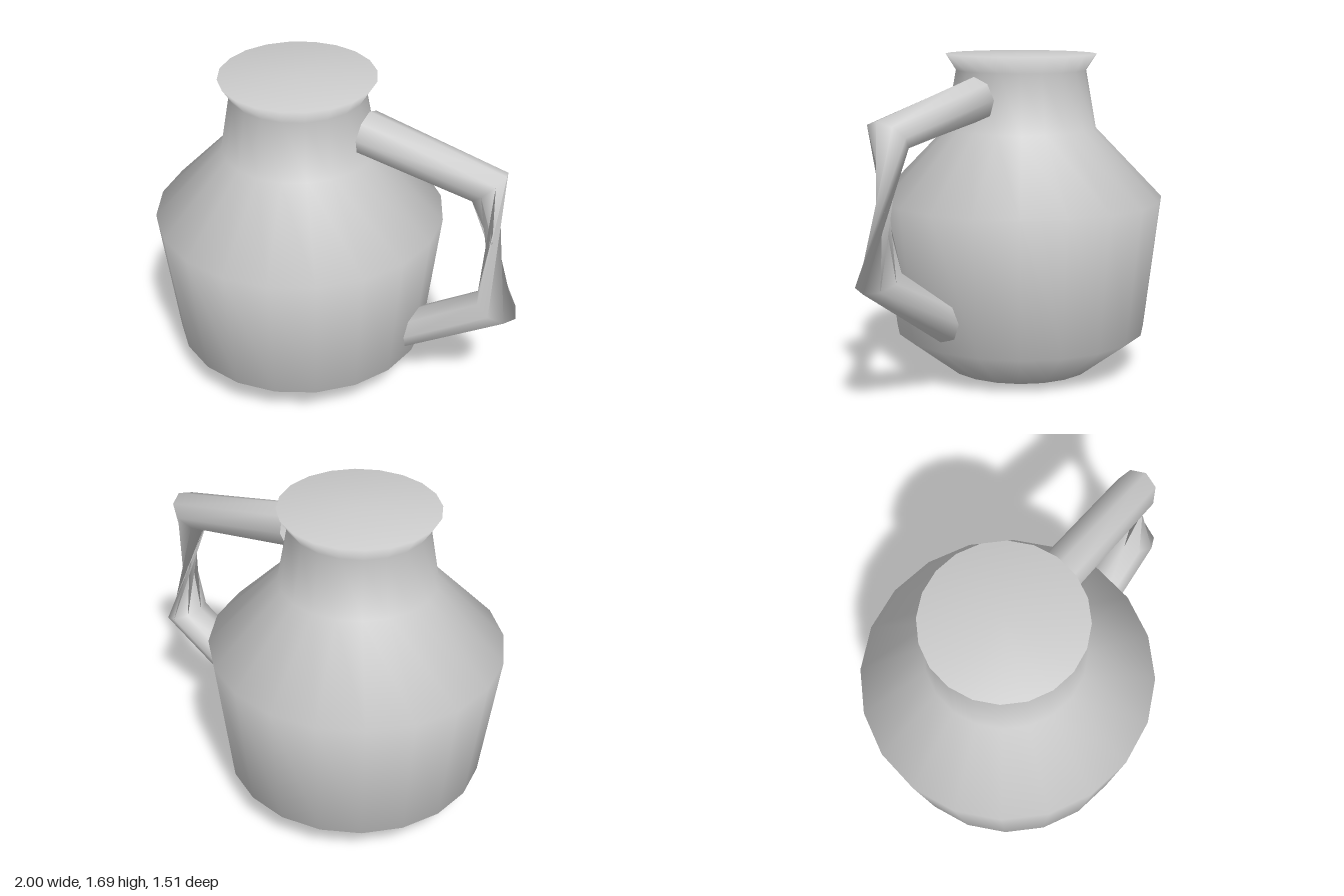
import * as THREE from 'three';

// Tube skinned over explicit octagonal rings; each ring has a centre and an in-plane "up" spoke.
function skinRings(rings, sides) {
  const pos = [], index = [];
  for (const { c, u, flip } of rings) {
    const r = Math.hypot(u[0], u[1]);
    for (let i = 0; i < sides; i++) {
      const a = (i / sides) * Math.PI * 2;
      pos.push(c[0] + u[0] * Math.cos(a), c[1] + u[1] * Math.cos(a), flip * r * Math.sin(a));
    }
  }
  for (let k = 0; k < rings.length - 1; k++) {
    for (let i = 0; i < sides; i++) {
      const j = (i + 1) % sides;
      const a = k * sides, b = a + sides;
      index.push(a + i, a + j, b + i, a + j, b + j, b + i);
    }
  }
  const g = new THREE.BufferGeometry();
  g.setAttribute('position', new THREE.Float32BufferAttribute(pos, 3));
  g.setIndex(index);
  g.computeVertexNormals();
  return g;
}

export function createModel() {
  const group = new THREE.Group();
  group.name = 'jug';

  const clay = new THREE.MeshStandardMaterial({ color: 0xcccccc, side: THREE.DoubleSide });
  clay.name = 'grey clay';

  // Body: closed, smooth 20-sided turned profile
  const profile = [
    [0, 0], [0.4, 0], [0.675, 0.21], [0.757, 0.93],
    [0.4, 1.3], [0.345, 1.605], [0.4, 1.69], [0, 1.69],
  ].map(([r, y]) => new THREE.Vector2(r, y));
  const body = new THREE.Mesh(new THREE.LatheGeometry(profile, 20), clay);
  body.name = 'body';
  body.position.x = -0.243;
  group.add(body);

  // Handle: the grip twists half a turn between its two corners
  const handle = new THREE.Mesh(skinRings([
    { c: [0.145, 1.475], u: [0.016, 0.114], flip: 1 },
    { c: [0.81, 1.348], u: [0.08, 0.077], flip: 1 },
    { c: [0.893, 0.675], u: [-0.105, 0.046], flip: -1 },
    { c: [0.44, 0.38], u: [0.01, 0.118], flip: -1 },
  ], 8), clay);
  handle.name = 'handle';
  group.add(handle);

  return group;
}
